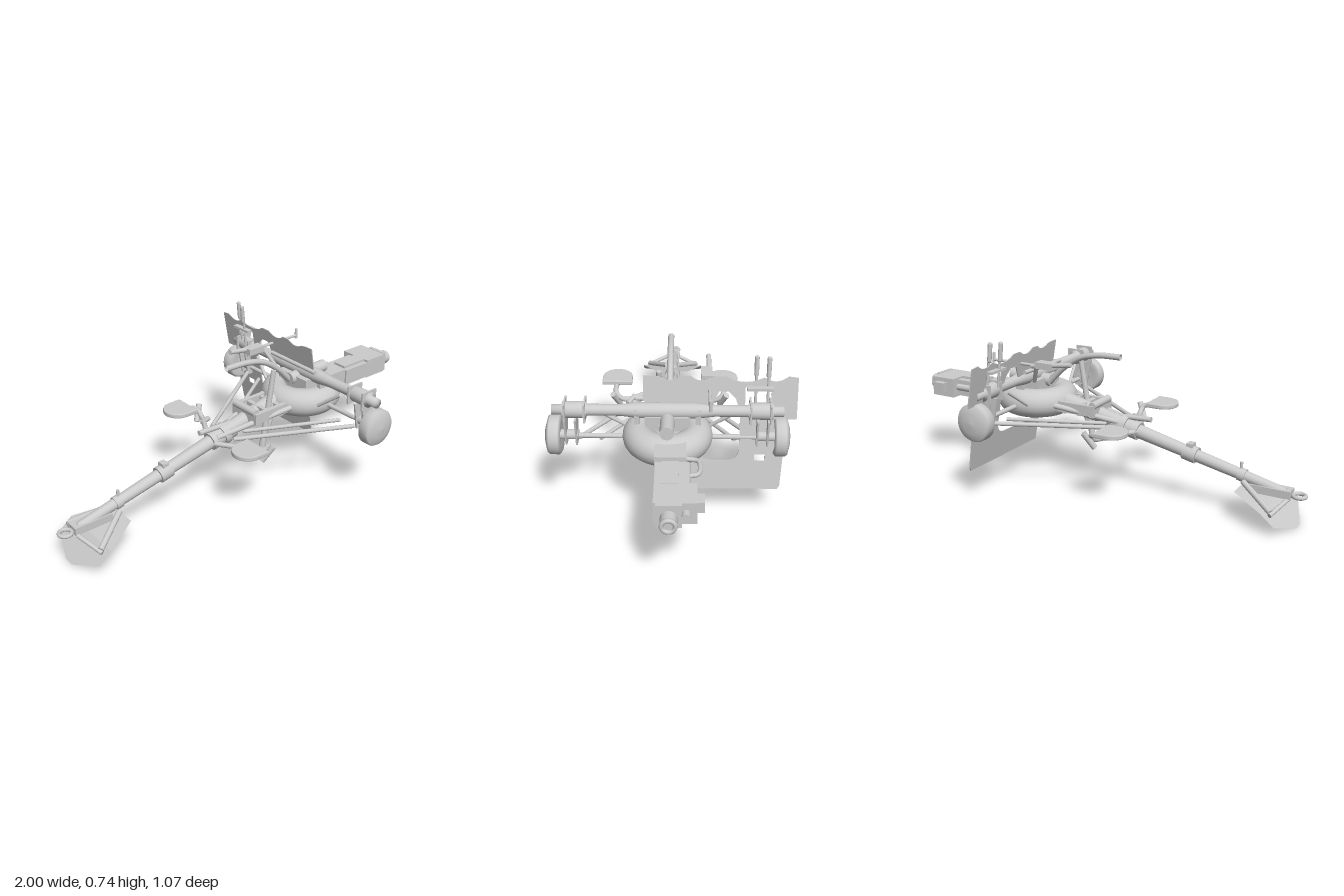
import * as THREE from 'three';

const Z0 = 0.017; // carriage centre line
const mat = new THREE.MeshStandardMaterial({ color: 0xcccccc, side: THREE.DoubleSide });
const flatMat = new THREE.MeshStandardMaterial({ color: 0xcccccc, side: THREE.DoubleSide, flatShading: true });

export function createModel() {
  const root = new THREE.Group();
  root.name = 'lightFieldGun';
  const add = (name, geo, p = [0, 0, 0], m = mat) => {
    const mesh = new THREE.Mesh(geo, m);
    mesh.name = name;
    mesh.position.set(...p);
    root.add(mesh);
    return mesh;
  };
  const box = (name, size, p) => add(name, new THREE.BoxGeometry(...size), p);
  const rod = (name, a, b, r, r2 = r, seg = 16) => {
    const A = new THREE.Vector3(...a), B = new THREE.Vector3(...b);
    const d = B.clone().sub(A);
    const mesh = add(name, new THREE.CylinderGeometry(r2, r, d.length(), seg), A.clone().add(B).multiplyScalar(0.5).toArray());
    mesh.quaternion.setFromUnitVectors(new THREE.Vector3(0, 1, 0), d.normalize());
    return mesh;
  };
  const pipe = (name, pts, r) => add(name, new THREE.TubeGeometry(
    new THREE.CatmullRomCurve3(pts.map(p => new THREE.Vector3(...p))), 28, r, 10));

  // Traversing ring and its hub
  const ring = new THREE.TorusGeometry(0.125, 0.068, 20, 48);
  ring.rotateX(Math.PI / 2);
  add('traverseRing', ring, [0.36, 0.39, Z0]);
  rod('ringHub', [0.36, 0.37, Z0], [0.36, 0.43, Z0], 0.075, 0.065, 24);
  box('hubCrossbar', [0.27, 0.035, 0.05], [0.36, 0.4, Z0]);

  // Barrel housing and muzzle
  box('housingNeck', [0.12, 0.1, 0.13], [0.56, 0.395, 0]);
  box('housingBody', [0.28, 0.08, 0.13], [0.775, 0.393, -0.005]);
  box('housingCap', [0.13, 0.095, 0.165], [0.855, 0.395, -0.024]);
  box('housingTop', [0.15, 0.015, 0.07], [0.72, 0.437, 0]);
  box('frontPlate', [0.02, 0.1, 0.1], [0.93, 0.395, 0]);
  rod('muzzleSleeve', [0.92, 0.39, 0], [0.99, 0.39, 0], 0.033);
  const lip = new THREE.TorusGeometry(0.026, 0.009, 10, 24);
  lip.rotateY(Math.PI / 2);
  add('muzzleLip', lip, [0.99, 0.39, 0]);
  rod('recoilRod', [0.6, 0.395, -0.065], [0.95, 0.395, -0.065], 0.018);
  box('sideLatch', [0.06, 0.045, 0.04], [0.86, 0.4, -0.115]);
  pipe('carryHandle', [[0.56, 0.4, -0.06], [0.575, 0.4, -0.11], [0.62, 0.4, -0.12], [0.67, 0.4, -0.11], [0.685, 0.4, -0.06]], 0.01);

  // Upper axle beam with stepped end sleeves
  const beam = [[0, -0.49], [0.023, -0.49], [0.023, -0.445], [0.036, -0.445], [0.036, -0.345], [0.025, -0.34],
    [0.025, -0.2], [0.034, -0.12], [0.034, 0.12], [0.025, 0.2], [0.025, 0.34], [0.036, 0.345], [0.036, 0.445],
    [0.023, 0.445], [0.023, 0.49], [0, 0.49]];
  const beamGeo = new THREE.LatheGeometry(beam.map(p => new THREE.Vector2(...p)), 24);
  beamGeo.rotateX(Math.PI / 2);
  add('axleBeam', beamGeo.toNonIndexed(), [0.36, 0.51, Z0], mat);
  rod('elevationCylinder', [0.28, 0.48, Z0], [0.51, 0.485, Z0], 0.03);
  box('centreSaddle', [0.1, 0.07, 0.19], [0.35, 0.46, Z0]);

  // Wheels, hangers, braces and seats, one set per side
  const wheelProfile = [[0, -0.025], [0.05, -0.025], [0.075, -0.032], [0.087, -0.022], [0.087, 0.016],
    [0.08, 0.026], [0.045, 0.036], [0, 0.04]].map(p => new THREE.Vector2(...p));
  for (const s of [1, -1]) {
    const z = v => Z0 + s * v;
    const wheel = new THREE.LatheGeometry(wheelProfile, 36);
    wheel.rotateX(s * Math.PI / 2);
    add('wheel', wheel, [0.365, 0.39, z(0.483)]);
    rod('stubAxle', [0.365, 0.385, z(0.16)], [0.365, 0.385, z(0.46)], 0.011);
    rod('wheelHub', [0.365, 0.39, z(0.38)], [0.365, 0.39, z(0.47)], 0.022);
    for (const h of [0.35, 0.435]) box('hangerBand', [0.09, 0.085, 0.008], [0.36, 0.51, z(h)]);
    const hanger = new THREE.Shape([[-0.045, 0.48], [0.045, 0.48], [0.022, 0.35], [-0.022, 0.35]].map(p => new THREE.Vector2(...p)));
    for (const h of [0.385, 0.43])
      add('wheelHanger', new THREE.ExtrudeGeometry(hanger, { depth: 0.008, bevelEnabled: false }), [0.365, 0, z(h)]);
    rod('shortStrut', [0.33, 0.485, z(0.29)], [0.3, 0.4, z(0.18)], 0.008);
    for (const k of [0.045, 0.13]) box('saddleLug', [0.04, 0.09, 0.022], [0.37, 0.48, z(k)]);

    // Diagonal braces to the trail
    rod('outerBrace', [-0.13, 0.33, z(0.08)], [0.34, 0.36, z(0.38)], 0.01);
    rod('innerBrace', [-0.05, 0.33, z(0.05)], [0.34, 0.355, z(0.29)], 0.009);
    rod('crossBrace', [-0.18, 0.33, z(0.02)], [0.2, 0.39, z(0.1)], 0.013);

    // Rounded seat on a cranked arm
    const seat = new THREE.Shape();
    seat.moveTo(0, -0.068);
    seat.lineTo(0, 0.068);
    seat.lineTo(-0.055, 0.068);
    seat.absarc(-0.055, 0, 0.068, Math.PI / 2, Math.PI * 1.5, false);
    const seatGeo = new THREE.ExtrudeGeometry(seat, { depth: 0.012, bevelSize: 0.004, bevelThickness: 0.005, bevelSegments: 2 });
    seatGeo.rotateX(Math.PI / 2);
    add('seat', seatGeo, [-0.14, 0.375, z(0.255)]);
    pipe('seatArm', [[-0.2, 0.31, z(0.03)], [-0.14, 0.31, z(0.12)], [-0.085, 0.31, z(0.22)], [-0.09, 0.34, z(0.255)], [-0.18, 0.36, z(0.255)]], 0.012);
    rod('footRest', [-0.06, 0.35, z(0.27)], [-0.1, 0.28, z(0.24)], 0.014);
    rod('footRestBar', [-0.12, 0.31, z(0.17)], [-0.06, 0.3, z(0.2)], 0.012);
    box('cradleSide', [0.2, 0.05, 0.022], [0.1, 0.385, z(0.075)]);
  }

  // Cradle between ring and trail
  for (const x of [0.01, 0.08, 0.16]) box('cradleRib', [0.022, 0.05, 0.17], [x, 0.38, Z0]);
  rod('cradleTube', [-0.08, 0.335, 0.01], [0.24, 0.4, 0.01], 0.034, 0.045);
  rod('pivotPin', [0.01, 0.41, -0.06], [0.01, 0.41, 0.09], 0.018);

  // Trail with collars
  const trail = x => [x, 0.333 + (x + 0.07) * 0.222, 0.01];
  rod('trailTube', trail(-0.9), trail(-0.07), 0.022, 0.034, 20);
  for (const [a, b, r] of [[-0.2, -0.07, 0.043], [-0.49, -0.43, 0.038], [-0.14, -0.11, 0.052], [-0.72, -0.69, 0.03]])
    rod('trailCollar', trail(a), trail(b), r, r, 20);
  rod('trailTopRod', [-0.26, 0.37, 0.01], [-0.05, 0.36, 0.01], 0.012);
  rod('trailLatch', [-0.7, 0.19, 0.01], [-0.7, 0.25, 0.01], 0.007);
  box('collarLug', [0.03, 0.03, 0.04], [-0.46, 0.28, 0.01]);

  // Bent spade plate from four cross-sections: x, y, half width
  const rows = [[-0.965, 0.005, 0.025], [-0.91, 0.05, 0.165], [-0.85, 0.1, 0.165], [-0.7, 0.14, 0.085]];
  const pos = [], idx = [];
  rows.forEach(([x, y, w], i) => {
    pos.push(x, y, Z0 - w, x, y, Z0 + w);
    if (i) idx.push(2 * i - 2, 2 * i - 1, 2 * i, 2 * i - 1, 2 * i + 1, 2 * i);
  });
  const spade = new THREE.BufferGeometry();
  spade.setAttribute('position', new THREE.Float32BufferAttribute(pos, 3));
  spade.setIndex(idx);
  spade.computeVertexNormals();
  add('spadePlate', spade, [0, 0, 0], flatMat);
  for (const s of [1, -1]) {
    rod('spadeRib', [-0.88, 0.1, Z0 + s * 0.13], [-0.72, 0.17, Z0 + s * 0.03], 0.013);
    rod('spadeStay', [-0.92, 0.13, Z0 + s * 0.02], [-0.88, 0.09, Z0 + s * 0.14], 0.01);
  }
  box('spadeBlock', [0.18, 0.035, 0.06], [-0.84, 0.15, 0.01]);
  const eye = new THREE.TorusGeometry(0.027, 0.009, 10, 24);
  eye.rotateX(Math.PI / 2);
  add('towingEye', eye, [-0.962, 0.147, 0.01]);

  // Tilted thin shield, drawn across (-z) and up (y)
  const shield = new THREE.Shape();
  shield.moveTo(-0.055, 0.15);
  [[0.46, 0.15], [0.47, 0.165], [0.478, 0.3], [0.478, 0.47], [0.53, 0.47], [0.53, 0.65], [0.49, 0.655]].forEach(p => shield.lineTo(...p));
  shield.quadraticCurveTo(0.44, 0.615, 0.39, 0.65);
  shield.lineTo(0.35, 0.635);
  shield.quadraticCurveTo(0.28, 0.62, 0.23, 0.655);
  shield.lineTo(0.18, 0.655);
  shield.quadraticCurveTo(0.125, 0.615, 0.08, 0.655);
  shield.lineTo(0.04, 0.655);
  shield.quadraticCurveTo(0, 0.62, -0.05, 0.65);
  [[-0.08, 0.655], [-0.12, 0.655], [-0.12, 0.55], [-0.1, 0.53], [0.17, 0.53], [0.2, 0.59], [0.24, 0.59],
    [0.27, 0.56], [0.29, 0.5], [0.29, 0.33]].forEach(p => shield.lineTo(...p));
  shield.quadraticCurveTo(0.285, 0.285, 0.24, 0.28);
  [[0.02, 0.28], [0, 0.33], [-0.055, 0.33]].forEach(p => shield.lineTo(...p));
  const hole = (a, b, c, d) => shield.holes.push(new THREE.Path([[a, c], [a, d], [b, d], [b, c]].map(p => new THREE.Vector2(...p))));
  hole(0.31, 0.42, 0.48, 0.61);
  hole(0.355, 0.4, 0.28, 0.31);
  const plate = new THREE.ExtrudeGeometry(shield, { depth: 0.005, bevelEnabled: false });
  plate.rotateY(Math.PI / 2);
  const pp = plate.attributes.position;
  for (let i = 0; i < pp.count; i++) pp.setX(i, pp.getX(i) + 0.41 - 0.18 * (pp.getY(i) - 0.15));
  plate.computeVertexNormals();
  add('shield', plate);

  // Hand levers
  [[0.3, -0.355, 0.735], [0.32, -0.405, 0.74]].forEach(([x, z, top]) => {
    rod('leverRod', [x + 0.02, 0.53, z], [x, top, z], 0.006);
    const grip = add('leverGrip', new THREE.CapsuleGeometry(0.01, 0.075, 6, 12), [x, top - 0.042, z]);
    grip.rotation.z = 0.1;
  });
  box('leverBracket', [0.06, 0.012, 0.11], [0.33, 0.61, -0.37]);

  // Curved guide pipe, sight rail and supports
  pipe('curvedPipe', [[-0.1, 0.64, 0.01], [0.02, 0.635, 0.01], [0.12, 0.61, 0.01], [0.21, 0.55, 0.01], [0.29, 0.47, 0.01]], 0.014);
  rod('sightRail', [0.06, 0.62, -0.16], [0.27, 0.59, -0.16], 0.011);
  rod('sightRailFront', [0.22, 0.595, -0.16], [0.49, 0.595, -0.16], 0.007);
  box('sightBlock', [0.09, 0.03, 0.05], [0.2, 0.6, -0.15]);
  rod('sightTip', [0.487, 0.58, -0.16], [0.487, 0.63, -0.16], 0.007);
  rod('sightArm', [0.3, 0.5, -0.1], [0.25, 0.6, -0.15], 0.01);
  rod('crossRail', [0.32, 0.545, 0.15], [0.32, 0.55, -0.15], 0.01);
  rod('sidePost', [0.14, 0.58, 0.06], [0.075, 0.2, 0.06], 0.012, 0.016);
  rod('lowerLink', [0.09, 0.27, 0.06], [0.14, 0.37, 0.06], 0.014);
  return root;
}
